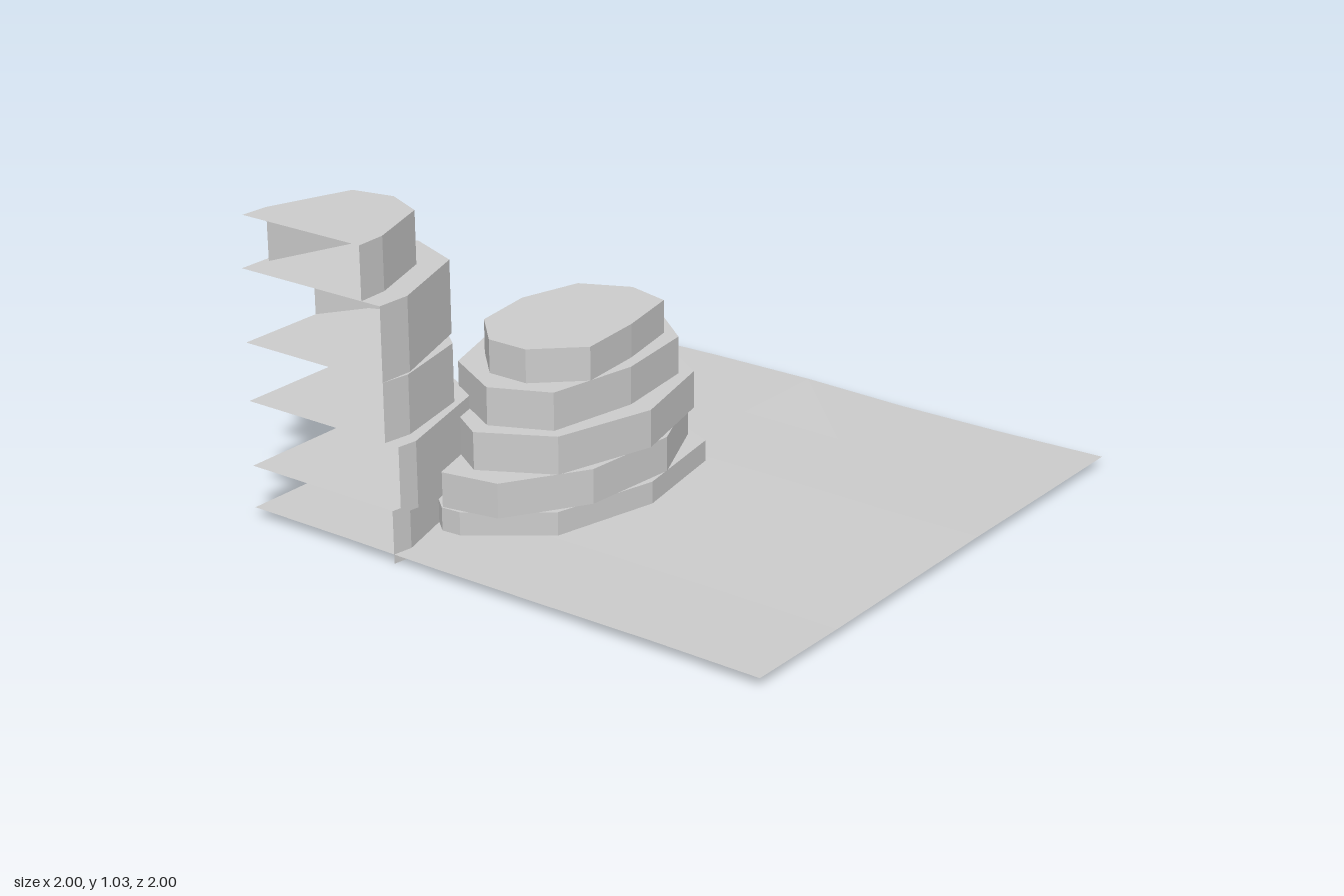
import * as THREE from 'three';

const stone = new THREE.MeshStandardMaterial({ color: 0xcccccc, side: THREE.DoubleSide, flatShading: true });
stone.name = 'grey stone';

// One terrace: upright walls around an outline of [x, z] points, plus a flat top.
// With cut = true the first point is the map corner and gets no walls.
function terrace(name, outline, y0, y1, cut) {
  const pos = [];
  const n = outline.length;
  for (let i = 0; i < n; i++) {
    const [ax, az] = outline[i], [bx, bz] = outline[(i + 1) % n];
    if (!cut || (i > 0 && i < n - 1)) {
      pos.push(ax, y0, az, bx, y0, bz, bx, y1, bz);
      pos.push(ax, y0, az, bx, y1, bz, ax, y1, az);
    }
    if (i > 0 && i < n - 1) pos.push(outline[0][0], y1, outline[0][1], ax, y1, az, bx, y1, bz);
  }
  const geo = new THREE.BufferGeometry();
  geo.setAttribute('position', new THREE.Float32BufferAttribute(pos, 3));
  geo.computeVertexNormals();
  const mesh = new THREE.Mesh(geo, stone);
  mesh.name = name;
  return mesh;
}

function stack(name, outlines, levels, cut) {
  const group = new THREE.Group();
  group.name = name;
  outlines.forEach((o, i) => group.add(terrace(`${name}Layer${i + 1}`, o, levels[i], levels[i + 1], cut)));
  return group;
}

// Gently uneven ground sheet
function ground() {
  const geo = new THREE.PlaneGeometry(2, 2, 5, 5).rotateX(-Math.PI / 2);
  const p = geo.attributes.position;
  for (let i = 0; i < p.count; i++) {
    const x = p.getX(i), z = p.getZ(i);
    const swing = 0.004 + 0.007 * Math.max(0, x);
    p.setY(i, 0.032 + swing * Math.sin(3.1 * x + 2.3 * z + 1) * Math.cos(2.2 * z - x));
  }
  geo.computeVertexNormals();
  const mesh = new THREE.Mesh(geo, stone);
  mesh.name = 'ground';
  return mesh;
}

export function createModel() {
  const model = new THREE.Group();
  model.name = 'rockTerrain';
  model.add(ground());

  // Low free-standing rock, bottom to top
  model.add(stack('lowRock', [
    [[-0.77, -0.4], [-0.765, -0.33], [-0.58, -0.08], [-0.21, 0.015], [0.17, -0.05], [0.305, -0.33], [0.16, -0.57], [-0.21, -0.69], [-0.6, -0.6]],
    [[-0.765, -0.4], [-0.73, -0.2], [-0.46, -0.03], [-0.11, 0], [0.18, -0.13], [0.27, -0.33], [0.17, -0.57], [-0.12, -0.69], [-0.5, -0.62]],
    [[-0.69, -0.33], [-0.56, -0.09], [-0.21, 0.01], [0.145, -0.08], [0.315, -0.33], [0.16, -0.57], [-0.21, -0.63], [-0.56, -0.54]],
    [[-0.62, -0.33], [-0.53, -0.13], [-0.21, -0.07], [0.1, -0.11], [0.275, -0.33], [0.08, -0.57], [-0.21, -0.645], [-0.5, -0.55]],
    [[-0.52, -0.4], [-0.52, -0.25], [-0.38, -0.1], [-0.14, -0.12], [0.1, -0.17], [0.14, -0.33], [0.06, -0.5], [-0.16, -0.56], [-0.39, -0.53]],
  ], [0, 0.11, 0.23, 0.36, 0.49, 0.605], false));

  // Tall corner rock, open along the two map edges
  model.add(stack('tallRock', [
    [[-1, -1], [-1, -0.4], [-0.93, -0.39], [-0.5, -0.52], [-0.36, -0.65], [-0.25, -0.73], [-0.49, -1]],
    [[-1, -1], [-1, -0.365], [-0.93, -0.355], [-0.53, -0.47], [-0.4, -0.73], [-0.48, -0.97], [-0.5, -1]],
    [[-1, -1], [-1, -0.42], [-0.9, -0.405], [-0.615, -0.47], [-0.4, -0.73], [-0.5, -0.93], [-0.55, -1]],
    [[-1, -1], [-1, -0.42], [-0.88, -0.415], [-0.55, -0.53], [-0.47, -0.73], [-0.535, -0.9], [-0.68, -1]],
    [[-1, -0.985], [-1, -0.495], [-0.89, -0.5], [-0.645, -0.585], [-0.58, -0.73], [-0.61, -0.88], [-0.9, -0.98]],
  ], [0, 0.18, 0.405, 0.605, 0.855, 1.035], true));

  return model;
}
